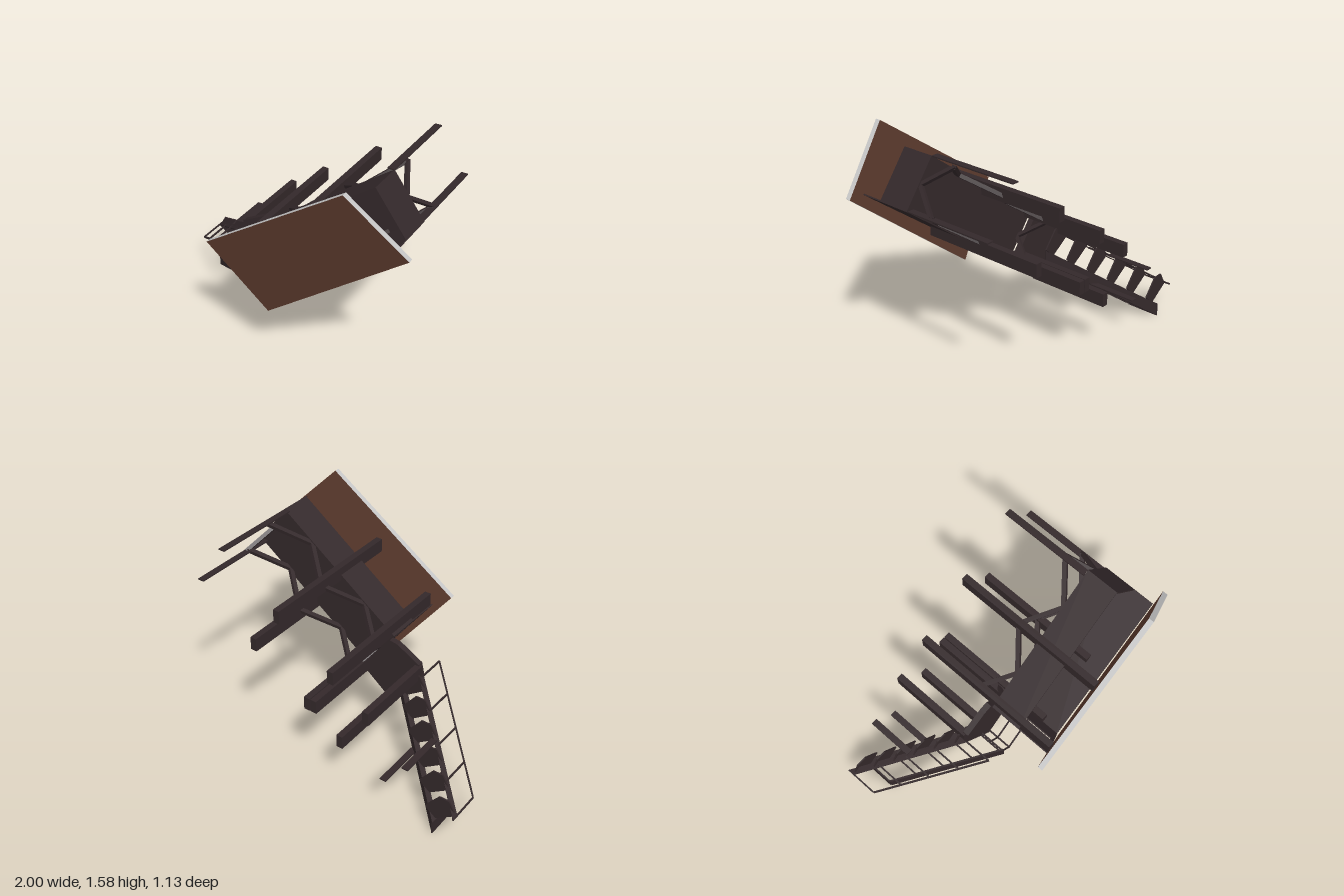
import * as THREE from 'three';

const V = (x, y, z) => new THREE.Vector3(x, y, z);
// building axes: U runs along the cabin, W across it; z is the cabin's own up
const U = V(0.8, 0.6, 0), W = V(-0.6, 0.8, 0), Z = V(0, 0, 1);
const corner = V(0.04, 0.57, 0);
const at = (s, t, z) => corner.clone().addScaledVector(U, s).addScaledVector(W, t).setZ(z);
const LEN = 1.066, WID = 0.35;

export function createModel() {
  const model = new THREE.Group();
  const mat = (name, color) => {
    const m = new THREE.MeshStandardMaterial({ color, side: THREE.DoubleSide });
    m.name = name;
    return m;
  };
  const dark = mat('dark timber', 0x33282a);
  const brown = mat('brown roofing', 0x5a392c);
  const grey = mat('grey roof edge', 0xc6c6c6);

  const group = (name) => {
    const g = new THREE.Group();
    g.name = name;
    model.add(g);
    return g;
  };
  const add = (parent, name, geo, m = dark) => {
    const mesh = new THREE.Mesh(geo, m);
    mesh.name = name;
    parent.add(mesh);
  };

  // skewed box: starts at o and spans the edge vectors a, b and c
  function skewBox(o, a, b, c) {
    if (a.clone().cross(b).dot(c) < 0) [b, c] = [c, b];
    const g = new THREE.BoxGeometry(1, 1, 1).translate(0.5, 0.5, 0.5);
    g.applyMatrix4(new THREE.Matrix4().makeBasis(a, b, c).setPosition(o));
    g.computeVertexNormals();
    return g;
  }
  // straight member from p to q whose cross-section is spanned by b and c, centred
  const member = (p, q, b, c) =>
    skewBox(p.clone().addScaledVector(b, -0.5).addScaledVector(c, -0.5), q.clone().sub(p), b, c);

  // ---- roof: four corners, uniform thickness along z
  const A = V(-0.29, 0.93, 0.53), B = V(0.64, 1.58, 0.53);
  const C = V(1.0, 1.21, 0.414), D = V(0.07, 0.47, 0.414);
  const roof = new THREE.BoxGeometry(1, 1, 1);
  const pos = roof.attributes.position;
  for (let i = 0; i < pos.count; i++) {
    const p = pos.getX(i) + 0.5, q = pos.getY(i) + 0.5;
    const v = D.clone().lerp(C, p).lerp(A.clone().lerp(B, p), q);
    pos.setXYZ(i, v.x, v.y, v.z + (pos.getZ(i) + 0.5) * 0.035);
  }
  roof.computeVertexNormals();
  add(model, 'roof', roof, [grey, grey, grey, grey, brown, brown]);

  // ---- cabin: floor, tall back wall, two half-height walls, end wall with doorway
  const cabin = group('cabin');
  const T = 0.008;
  const u = (k) => U.clone().multiplyScalar(k);
  const w = (k) => W.clone().multiplyScalar(k);
  const z = (k) => Z.clone().multiplyScalar(k);
  add(cabin, 'floor', skewBox(at(0, 0, 0.05), u(LEN), w(WID), z(T)));
  add(cabin, 'tallWall', skewBox(at(0, 0, 0.05), u(LEN), w(T), z(0.37)));
  add(cabin, 'lowWall', skewBox(at(0, WID - T, 0.05), u(LEN), w(T), z(0.22)));
  add(cabin, 'lowEndWall', skewBox(at(LEN - T, 0, 0.05), u(T), w(WID), z(0.225)));
  const end = new THREE.Shape([[0, 0.05], [WID, 0.05], [WID, 0.51], [0, 0.42]]
    .map(([a, b]) => new THREE.Vector2(a, b)));
  end.holes.push(new THREE.Path([[0.13, 0.06], [0.13, 0.43], [0.25, 0.43], [0.25, 0.06]]
    .map(([a, b]) => new THREE.Vector2(a, b))));
  const endGeo = new THREE.ExtrudeGeometry(end, { depth: T, bevelEnabled: false });
  endGeo.applyMatrix4(new THREE.Matrix4().makeBasis(W, Z, U).setPosition(at(0, 0, 0)));
  add(cabin, 'doorWall', endGeo);

  // ---- stilts: x, y, depth in y, top in z
  const stilts = group('stilts');
  const FOOT = -0.565;
  [
    [0.66, 1.486, 0.008, 0.05], [0.862, 1.206, 0.008, 0.05],
    [0.262, 1.165, 0.09, 0.5], [0.462, 0.885, 0.09, 0.3],
    [0.055, 0.605, 0.09, 0.3], [-0.13, 0.885, 0.09, 0.5],
    [0.005, 0.605, 0.09, 0.02], [-0.19, 0.42, 0.09, 0.02],
    [-0.385, 0.697, 0.09, 0.02],
    [-0.67, 0.45, 0.008, -0.24], [-0.515, 0.28, 0.008, -0.22],
  ].forEach(([x, y, d, top]) =>
    add(stilts, 'stilt', member(V(x, y, FOOT), V(x, y, top), V(0.044, 0, 0), V(0, d, 0))));

  // ---- knee braces: each pair rises from two stilts to the floor halfway between
  const braces = group('braces');
  const h = LEN / 2, t0 = 0.02, t1 = WID - 0.02;
  [
    [[0.02, t0], [h, t0]], [[h, t0], [LEN - 0.02, t0]],
    [[0.02, t1], [h, t1]], [[h, t1], [LEN - 0.02, t1]],
    [[LEN - 0.02, t0], [LEN - 0.02, t1]], [[0.02, t0], [0.02, t1]],
  ].forEach(([a, b]) => {
    const mid = at((a[0] + b[0]) / 2, (a[1] + b[1]) / 2, 0.055);
    const side = a[0] === b[0] ? u(0.025) : w(0.025);
    for (const e of [a, b])
      add(braces, 'brace', member(at(e[0], e[1], -0.12), mid, side, z(0.035)));
  });

  // ---- landing in front of the doorway
  const landing = group('landing');
  const deck = new THREE.Shape([[-0.2, 0.375], [0.04, 0.57], [-0.17, 0.85],
    [-0.23, 0.84], [-0.39, 0.75], [-0.41, 0.66], [-0.27, 0.47]]
    .map(([a, b]) => new THREE.Vector2(a, b)));
  add(landing, 'deck', new THREE.ExtrudeGeometry(deck, { depth: 0.04, bevelEnabled: false }));
  const P = V(-0.272, 0.48, 0), Q = V(-0.19, 0.385, 0);
  const R = V(0.03, 0.57, 0);
  const thinY = V(0, 0.01, 0), thinX = V(0.01, 0, 0);
  for (const [a, b] of [[P, Q], [Q, R]])
    for (const k of [0.11, 0.21])
      add(landing, 'landingRail', member(a.clone().setZ(k), b.clone().setZ(k), thinY, z(0.01)));
  for (const p of [P, Q])
    add(landing, 'landingPost', member(p.clone().setZ(0), p.clone().setZ(0.215), thinX, thinY));

  // ---- stairs: two stringers with handrails, and treads between them
  const stairs = group('stairs');
  const flights = [
    { x: -0.995, y: 0.193, depth: 0.008 }, // upper side
    { x: -0.855, y: 0.048, depth: 0.09 },  // lower side
  ];
  const run = V(0.59, 0.46, 0.52);
  for (const { x, y, depth } of flights) {
    const foot = V(x, y, -0.505), d = V(0, depth, 0);
    add(stairs, 'stringer', member(foot, foot.clone().add(run), d, z(0.05)));
    const rail = foot.clone().setZ(-0.295);
    add(stairs, 'handrail', member(rail, rail.clone().add(run), d, z(0.015)));
    for (let i = 0; i <= 4; i++) {
      const p = foot.clone().addScaledVector(run, i / 4);
      const q = p.clone().setZ(p.z + 0.21);
      if (i === 0) p.z = -0.53;
      add(stairs, 'baluster', member(p, q, V(0.01, 0, 0), i === 0 ? d : thinY));
    }
  }
  const tread = new THREE.Shape([[0, 0], [0.05, 0.09], [0.12, 0.09], [0.215, -0.03], [0.145, -0.1]]
    .map(([a, b]) => new THREE.Vector2(a, b)));
  const treadGeo = new THREE.ExtrudeGeometry(tread, { depth: 0.01, bevelEnabled: false });
  for (let i = 0; i < 6; i++) {
    const k = i * 0.178;
    add(stairs, 'tread', treadGeo.clone().translate(
      -0.99 + run.x * k, 0.19 + run.y * k, -0.49 + run.z * k));
  }
  return model;
}
